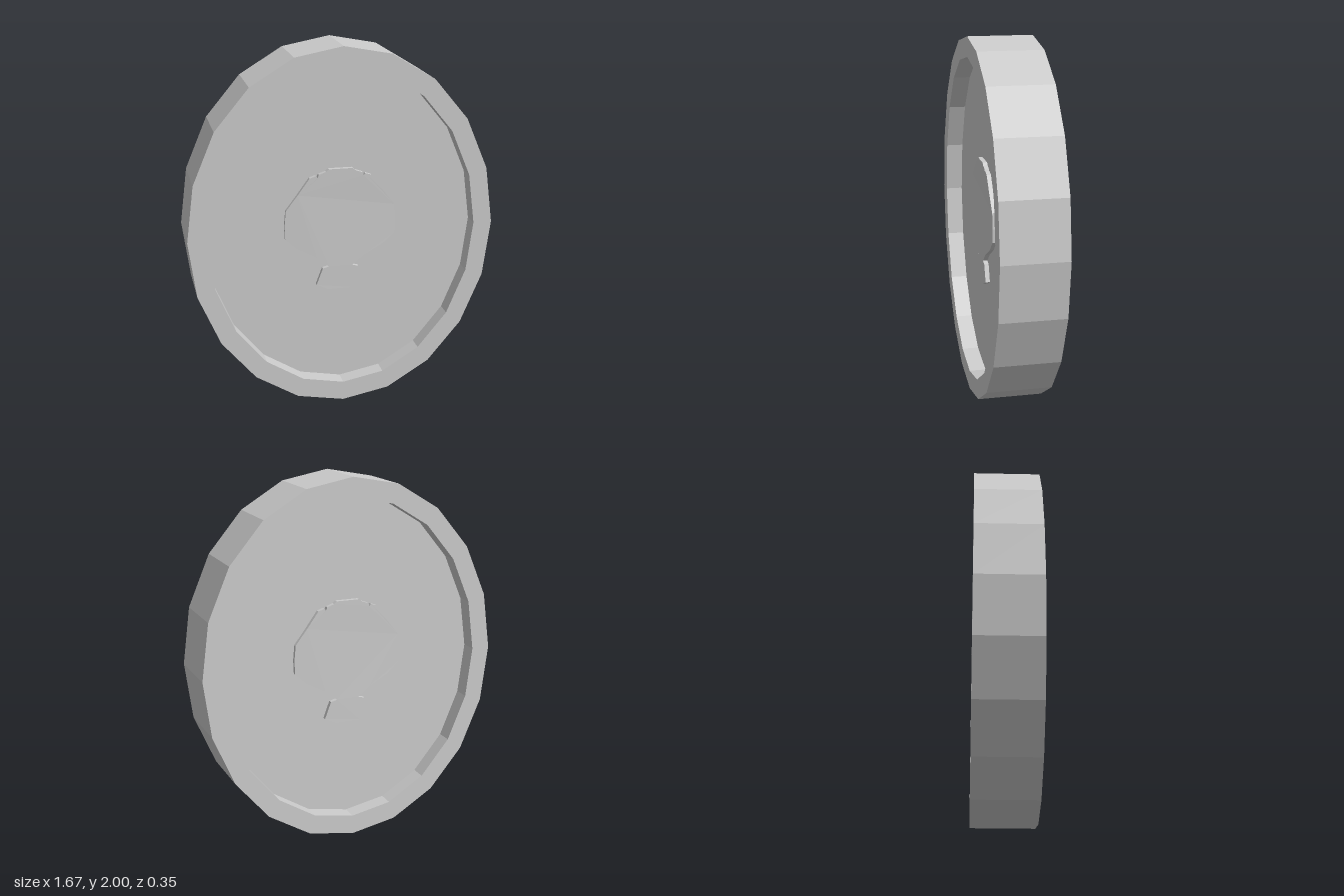
import * as THREE from 'three';

const RIM_Z = 0.177, FLOOR_Z = 0.085, INNER = 0.892;

// Oval 20-sided disc with a raised rim on both faces
function discGeometry() {
  const profile = [
    [0, -FLOOR_Z], [INNER, -FLOOR_Z], [INNER, -RIM_Z], [1, -RIM_Z],
    [1, RIM_Z], [INNER, RIM_Z], [INNER, FLOOR_Z], [0, FLOOR_Z],
  ].map(([r, h]) => new THREE.Vector2(r, h));
  const geo = new THREE.LatheGeometry(profile, 20);
  geo.rotateX(Math.PI / 2);
  // squeeze to an oval, the inner edge slightly more than the outer
  const p = geo.attributes.position;
  for (let i = 0; i < p.count; i++) {
    const outer = Math.hypot(p.getX(i), p.getY(i)) > 0.95;
    p.setX(i, p.getX(i) * (outer ? 0.836 : 0.823));
  }
  geo.computeVertexNormals();
  return geo;
}

// Scallop shell relief, mirrored from its right half outline
function shellGeometry() {
  const half = [
    [0.065, 1.335], [0.08, 1.322], [0.12, 1.308], [0.127, 1.29], [0.135, 1.302],
    [0.17, 1.29], [0.235, 1.2], [0.3, 1.115], [0.308, 1.03], [0.305, 0.955],
    [0.24, 0.895], [0.13, 0.835], [0.065, 0.782], [0.1, 0.773],
    [0.135, 0.68], [0.072, 0.65],
  ];
  const mirrored = half.map(([x, y]) => [-x, y]).reverse();
  const outline = [...half, ...mirrored].map(([x, y]) => new THREE.Vector2(x, y - 1));
  const geo = new THREE.ExtrudeGeometry(new THREE.Shape(outline), { depth: 0.03, bevelEnabled: false });
  // crown the face very slightly towards the middle
  const p = geo.attributes.position;
  for (let i = 0; i < p.count; i++) {
    if (p.getZ(i) > 0.02) p.setZ(i, 0.024 + 0.005 * (1 - (p.getX(i) / 0.31) ** 2));
  }
  geo.computeVertexNormals();
  return geo;
}

export function createModel() {
  const group = new THREE.Group();
  group.name = 'shellCoin';
  const material = new THREE.MeshStandardMaterial({ color: 0xcccccc, flatShading: true });

  const disc = new THREE.Mesh(discGeometry(), material);
  disc.name = 'coinDisc';
  disc.position.y = 1;
  group.add(disc);

  // One shell on each face
  const shellGeo = shellGeometry();
  for (const [name, side] of [['frontShell', 1], ['backShell', -1]]) {
    const shell = new THREE.Mesh(shellGeo, material);
    shell.name = name;
    shell.position.set(0, 1, side * (FLOOR_Z - 0.004));
    if (side < 0) shell.rotation.y = Math.PI;
    group.add(shell);
  }
  return group;
}
